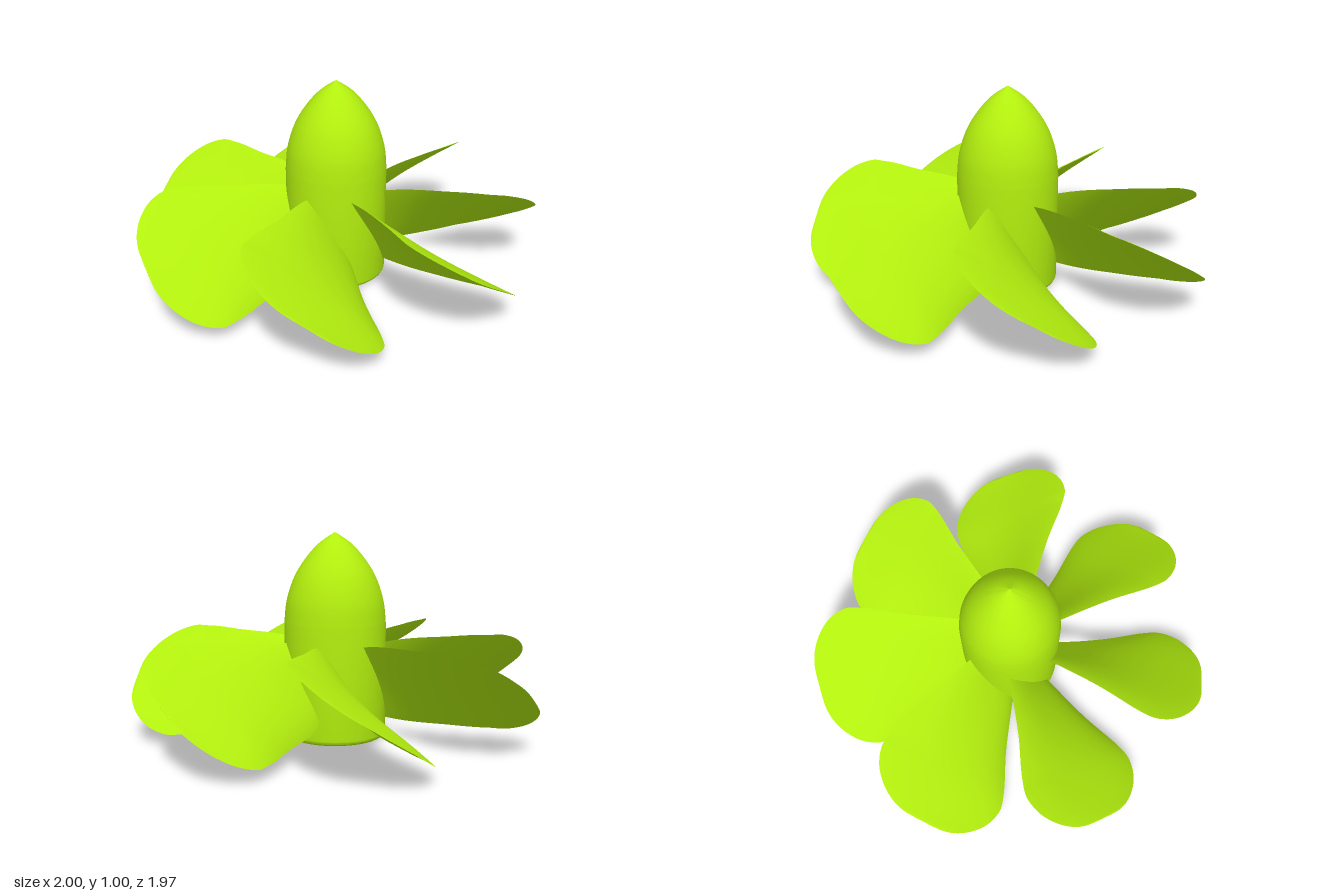
import * as THREE from 'three';
import { toCreasedNormals } from 'three/addons/utils/BufferGeometryUtils.js';

const BLADES = 7;
const MID_Y = 0.28;

// Stations along one blade: distance from the axis, half width, steepness of the chord
const STATIONS = [
  [0.18, 0.1, 1.85], [0.25, 0.125, 1.57], [0.5, 0.205, 1.04], [0.7, 0.285, 0.78],
  [0.78, 0.302, 0.73], [0.87, 0.277, 0.69], [0.94, 0.222, 0.66], [0.985, 0.155, 0.63],
  [1.002, 0.1, 0.62], [1.006, 0.05, 0.62],
];

// Twisted blade lofted from thin sections, pointing along +z
function bladeGeometry() {
  const path = new THREE.CatmullRomCurve3(STATIONS.map((s) => new THREE.Vector3(...s)));
  const rows = path.getPoints(54);
  const half = 16;
  const ring = half * 2;
  const positions = [];
  const index = [];

  rows.forEach(({ x: r, y: w, z: slope }) => {
    const len = Math.hypot(1, slope);
    const thick = 0.2 * w * (1.08 - r);
    for (let j = 0; j < ring; j++) {
      const upper = j <= half;
      const s = -Math.cos((j / half) * Math.PI);
      // full upper face, nearly flat lower face
      const t = (upper ? thick : -0.15 * thick) * (1 - s ** 4);
      positions.push(s * w + (t * slope) / len, MID_Y - s * w * slope + t / len, r);
    }
  });

  for (let i = 0; i < rows.length - 1; i++) {
    for (let j = 0; j < ring; j++) {
      const a = i * ring + j;
      const b = i * ring + ((j + 1) % ring);
      index.push(a, a + ring, b, b, a + ring, b + ring);
    }
  }

  // Close the tip
  const last = (rows.length - 1) * ring;
  for (let j = 1; j < ring - 1; j++) index.push(last, last + j + 1, last + j);

  const geometry = new THREE.BufferGeometry();
  geometry.setAttribute('position', new THREE.Float32BufferAttribute(positions, 3));
  geometry.setIndex(index);
  return toCreasedNormals(geometry, 0.7);
}

// Hub with a shaft bore, rounded foot and pointed nose
function hubGeometry() {
  const nose = new THREE.SplineCurve([
    [0.25, 0.56], [0.238, 0.67], [0.203, 0.78], [0.15, 0.87], [0.08, 0.95], [0, 1.005],
  ].map(([x, y]) => new THREE.Vector2(x, y))).getPoints(24);
  nose[nose.length - 1].x = 0;
  const foot = [];
  for (let i = 0; i <= 5; i++) {
    const a = (i / 5) * (Math.PI / 2);
    foot.push(new THREE.Vector2(0.225 + 0.025 * Math.sin(a), 0.025 - 0.025 * Math.cos(a)));
  }
  const bore = [[0, 0.5], [0.1, 0.5], [0.1, 0]].map(([x, y]) => new THREE.Vector2(x, y));
  return toCreasedNormals(new THREE.LatheGeometry([...bore, ...foot, ...nose], 64), 0.6);
}

export function createModel() {
  const model = new THREE.Group();
  model.name = 'propeller';
  const material = new THREE.MeshStandardMaterial({ color: 0xb2ee0e });

  const hub = new THREE.Mesh(hubGeometry(), material);
  hub.name = 'hub';
  model.add(hub);

  const geometry = bladeGeometry();
  for (let i = 0; i < BLADES; i++) {
    const blade = new THREE.Mesh(geometry, material);
    blade.name = `blade${i + 1}`;
    blade.rotation.y = (i / BLADES) * Math.PI * 2 - 0.02;
    model.add(blade);
  }

  // An odd number of blades sets the axis slightly behind the centre
  model.position.z = -0.025;
  return model;
}
